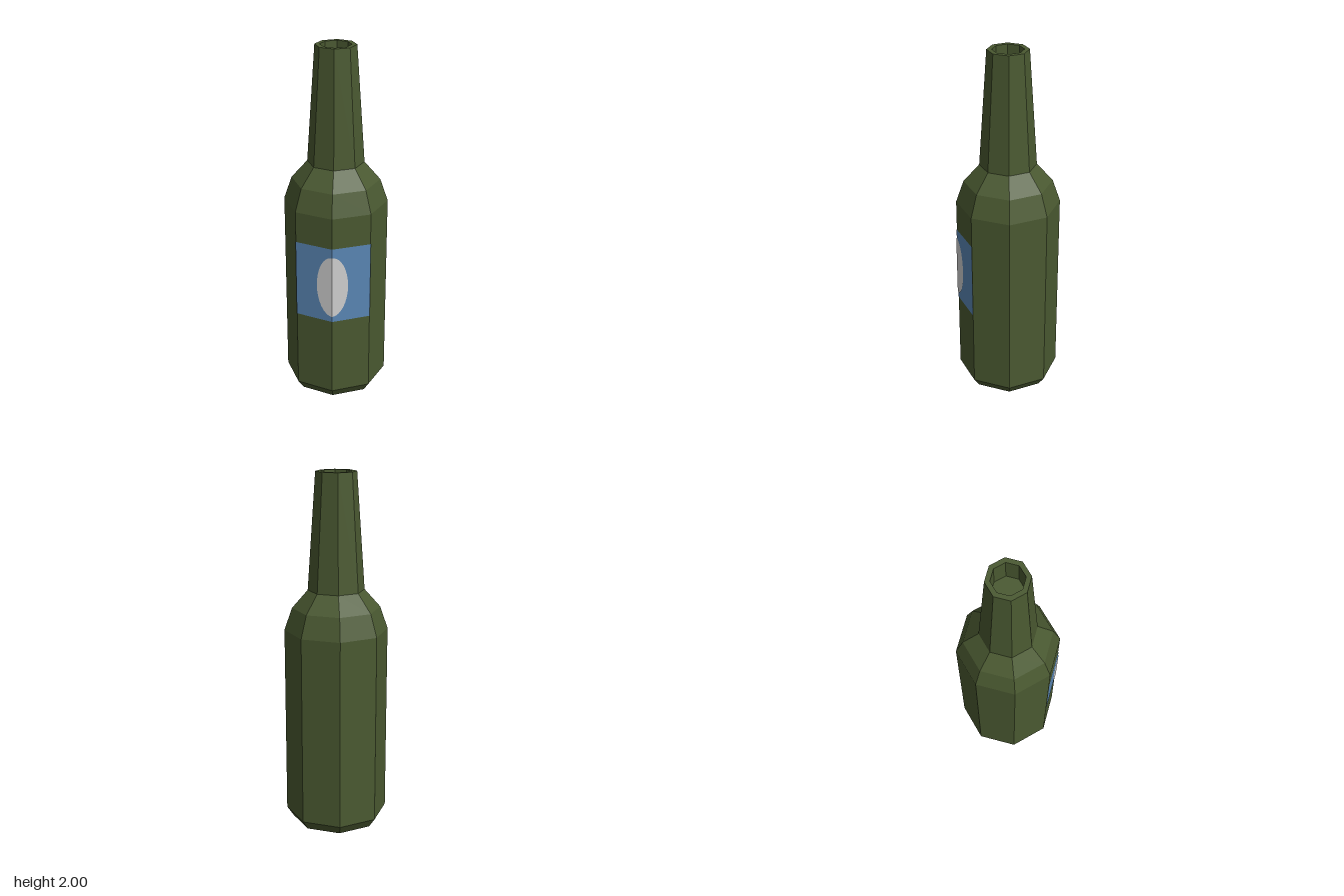
import * as THREE from 'three';

const SIDES = 8;
const RADIUS = 0.288;
const FOLD = Math.tan(Math.PI / 8); // slope of the front facets away from the front edge

function flat(name, color) {
  const m = new THREE.MeshStandardMaterial({ color });
  m.name = name;
  m.flatShading = true;
  return m;
}

function lathe(points, ...args) {
  return new THREE.LatheGeometry(points.map(([r, y]) => new THREE.Vector2(r, y)), ...args);
}

export function createModel() {
  const glass = flat('green glass', 0x4a5931);
  const blue = flat('label blue', 0x5a86b4);
  const pale = flat('label pale grey', 0xd0d0d0);

  const group = new THREE.Group();
  group.name = 'bottle';
  const add = (name, geometry, material) => {
    const mesh = new THREE.Mesh(geometry, material);
    mesh.name = name;
    group.add(mesh);
  };

  // Base, straight body and two-step shoulder
  add('body', lathe([
    [0, 0], [0.25, 0], [RADIUS, 0.055], [RADIUS, 1.13], [0.245, 1.255], [0.157, 1.355],
  ], SIDES), glass);

  // Tapered neck with a rim and a hollow mouth
  add('neck', lathe([
    [0.157, 1.355], [0.112, 2], [0.085, 2], [0.085, 1.85], [0, 1.85],
  ], SIDES), glass);

  // Label wrapped over the two front facets
  add('label', lathe([
    [RADIUS + 0.002, 0.51], [RADIUS + 0.002, 0.955],
  ], 2, -Math.PI / 4, Math.PI / 2), blue);

  // Oval on the label, folded along the front edge
  const oval = new THREE.CircleGeometry(1, 32).scale(0.086, 0.181, 1).translate(0, 0.724, 0);
  const pos = oval.attributes.position;
  for (let i = 0; i < pos.count; i++) {
    pos.setZ(i, RADIUS + 0.005 - Math.abs(pos.getX(i)) * FOLD);
  }
  oval.computeVertexNormals();
  add('labelOval', oval, pale);

  return group;
}
